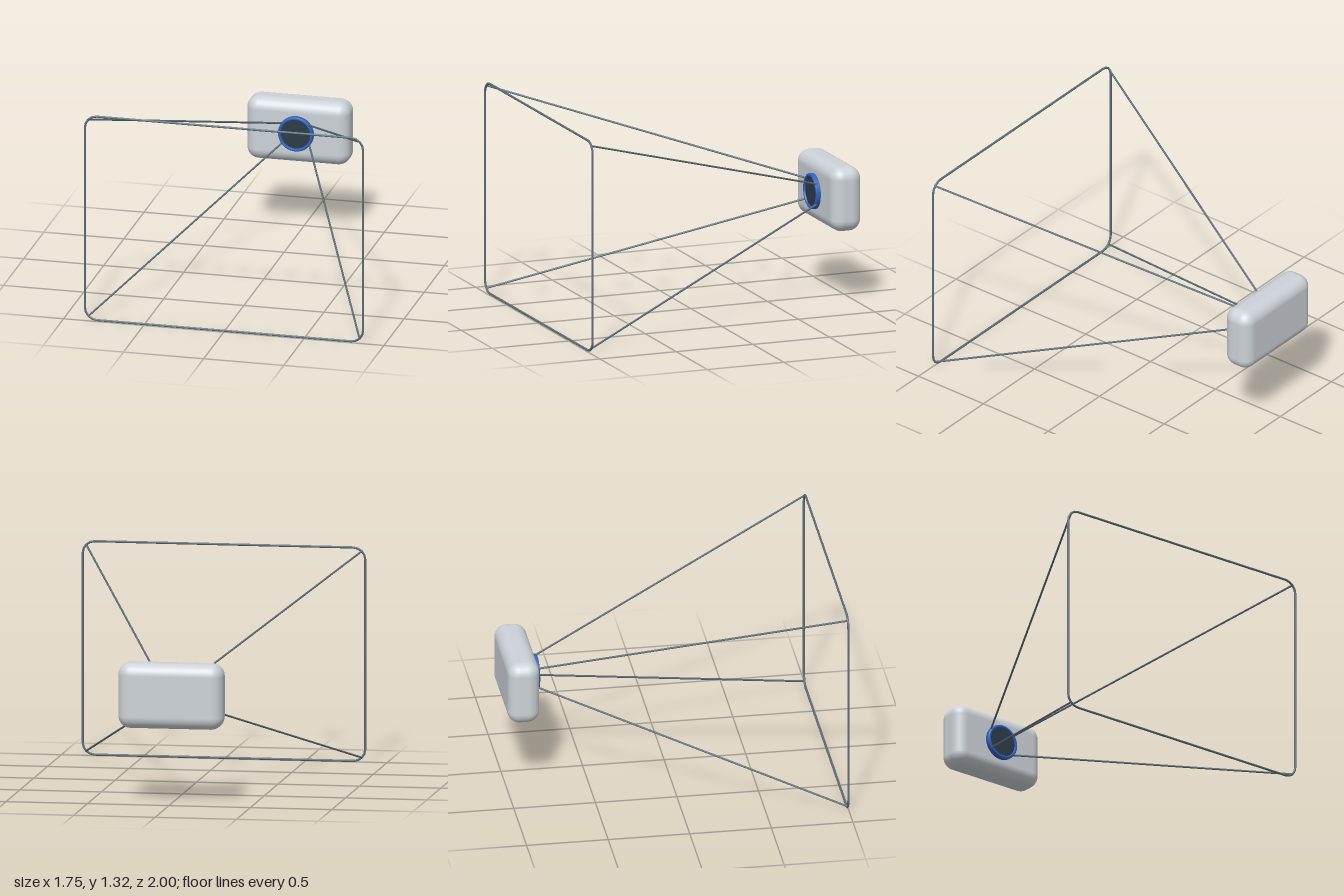
import * as THREE from 'three';
import { RoundedBoxGeometry } from 'three/addons/geometries/RoundedBoxGeometry.js';

const CY = 0.665; // height of the optical axis

export function createModel() {
  const mat = (name, color) => {
    const m = new THREE.MeshStandardMaterial({ color });
    m.name = name;
    return m;
  };
  const grey = mat('body light grey', 0xccd2d8);
  const blue = mat('ring blue', 0x2f62bd);
  const slate = mat('wire slate', 0x5f6f7b);
  const glass = mat('glass dark slate', 0x2b3a47);

  const model = new THREE.Group();
  model.name = 'cameraWithViewFrustum';
  const add = (name, geometry, material, parent = model) => {
    const mesh = new THREE.Mesh(geometry, material);
    mesh.name = name;
    parent.add(mesh);
    return mesh;
  };
  // Thin round bar between two points
  const bar = (name, a, b, radius, parent) => {
    const dir = b.clone().sub(a);
    const mesh = add(name, new THREE.CylinderGeometry(radius, radius, dir.length(), 8), slate, parent);
    mesh.position.copy(a).add(b).multiplyScalar(0.5);
    mesh.quaternion.setFromUnitVectors(new THREE.Vector3(0, 1, 0), dir.normalize());
    return mesh;
  };

  // Camera body
  add('body', new RoundedBoxGeometry(0.644, 0.4, 0.195, 6, 0.075), grey).position.set(0, CY, -0.9025);

  // Lens ring with softened edges, turned about the z axis
  const profile = [[0.11, -0.02], [0.11, 0.024], [0.108, 0.03], [0.103, 0.033], [0.097, 0.033], [0.092, 0.03], [0.091, 0.018]];
  const ring = new THREE.LatheGeometry(profile.map(([r, h]) => new THREE.Vector2(r, h)), 40);
  ring.rotateX(Math.PI / 2);
  blue.side = THREE.DoubleSide;
  add('lensRing', ring, blue).position.set(0, CY, -0.808);

  // Lens glass
  add('lensGlass', new THREE.CircleGeometry(0.093, 40), glass).position.set(0, CY, -0.785);

  // Rounded rectangular frame at the front
  const frame = new THREE.Group();
  frame.name = 'viewFrame';
  frame.position.set(0, CY, 0.993);
  model.add(frame);
  const W = 0.868, H = 0.653, R = 0.075, T = 0.007;
  const v = (x, y, z = 0) => new THREE.Vector3(x, y, z);
  for (const s of [-1, 1]) {
    bar('frameRail', v(-W + R, s * H), v(W - R, s * H), T, frame);
    bar('framePost', v(s * W, -H + R), v(s * W, H - R), T, frame);
  }
  [[1, 1], [-1, 1], [-1, -1], [1, -1]].forEach(([sx, sy], i) => {
    const corner = add('frameCorner', new THREE.TorusGeometry(R, T, 8, 4, Math.PI / 2), slate, frame);
    corner.position.set(sx * (W - R), sy * (H - R), 0);
    corner.rotation.z = i * Math.PI / 2;
    // Sight rod from the lens to this corner
    bar('sightRod', v(sx * 0.07, CY + sy * 0.052, -0.823), v(sx * 0.846, CY + sy * 0.631, 0.993), 0.006);
  });

  return model;
}
